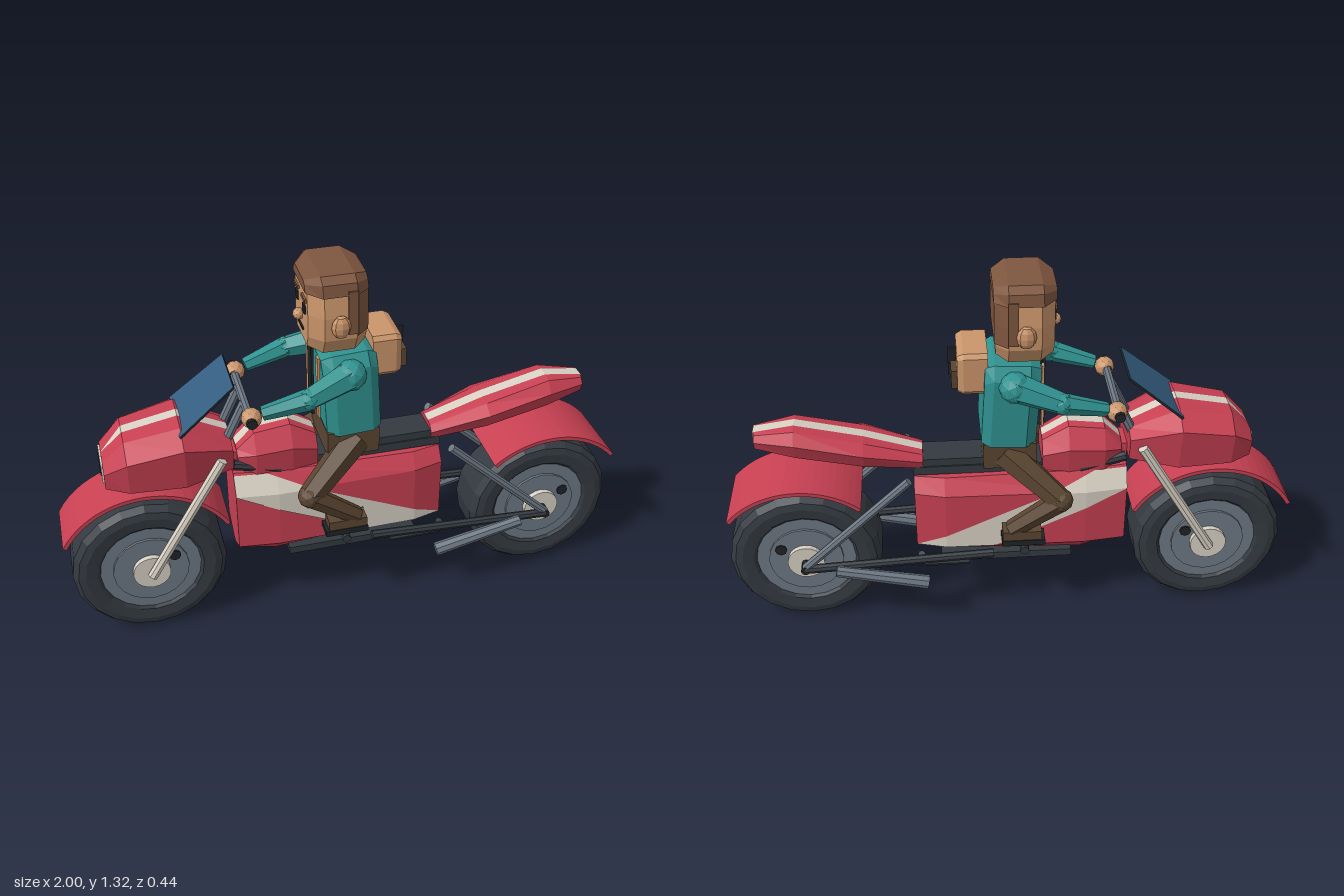
import * as THREE from 'three';

const mat = (name, color) => Object.assign(new THREE.MeshStandardMaterial({ color, flatShading: true }), { name });
const red = mat('red paint', 0xc74052), rubber = mat('dark rubber', 0x343a41), metal = mat('grey metal', 0x6d7884);
const cream = mat('cream paint', 0xd8d1c4), teal = mat('teal cloth', 0x2f9290), pants = mat('brown cloth', 0x5a4531);
const skin = mat('skin and tan leather', 0xcb966b), hair = mat('brown hair', 0x7e563f);
const glass = mat('blue glass', 0x335d80), black = mat('black', 0x202327);
rubber.side = red.side = glass.side = cream.side = THREE.DoubleSide;

export function createModel() {
  const model = new THREE.Group();
  const add = (name, geo, material, x = 0, y = 0, z = 0, parent = model) => {
    const m = new THREE.Mesh(geo, material);
    m.name = name;
    m.position.set(x, y, z);
    parent.add(m);
    return m;
  };
  const box = (name, material, x0, x1, y0, y1, z0, z1) =>
    add(name, new THREE.BoxGeometry(x1 - x0, y1 - y0, z1 - z0), material, (x0 + x1) / 2, (y0 + y1) / 2, (z0 + z1) / 2);
  // Tapered rod between two points
  const bar = (name, material, a, b, r0, r1 = r0, sides = 8) => {
    const p = new THREE.Vector3(...a), d = new THREE.Vector3(...b).sub(p);
    const m = add(name, new THREE.CylinderGeometry(r1, r0, d.length(), sides), material);
    m.position.copy(p).addScaledVector(d, 0.5);
    m.quaternion.setFromUnitVectors(new THREE.Vector3(0, 1, 0), d.normalize());
    return m;
  };
  // Mirrored shell along x: each section is [x, [y, z] from top to bottom]; group 1 is the top strip
  const quad = (out, a, b, c, d) => out.push(...a, ...b, ...c, ...a, ...c, ...d);
  const loft = sections => {
    const rings = sections.map(([x, ...h]) => [
      ...h.map(([y, z]) => [x, y, z]), ...h.slice().reverse().map(([y, z]) => [x, y, -z])]);
    const n = rings[0].length, pos = [], strip = [];
    for (let i = 0; i < rings.length - 1; i++)
      for (let j = 0; j < n; j++) {
        const k = (j + 1) % n;
        quad(j === n - 1 ? strip : pos, rings[i][j], rings[i][k], rings[i + 1][k], rings[i + 1][j]);
      }
    const first = rings[0], last = rings[rings.length - 1];
    for (let j = 1; j < n - 1; j++) {
      pos.push(...first[0], ...first[j + 1], ...first[j]);
      pos.push(...last[0], ...last[j], ...last[j + 1]);
    }
    const g = new THREE.BufferGeometry();
    g.setAttribute('position', new THREE.Float32BufferAttribute([...pos, ...strip], 3));
    g.addGroup(0, pos.length / 3, 0);
    g.addGroup(pos.length / 3, strip.length / 3, 1);
    g.computeVertexNormals();
    return g;
  };
  const sides = f => [1, -1].forEach(f);

  // Wheels
  for (const [name, x] of [['frontWheel', -0.715], ['rearWheel', 0.73]]) {
    const w = new THREE.Group();
    w.name = name;
    w.position.set(x, 0.276, 0);
    model.add(w);
    const profile = [[0.17, -0.08], [0.185, -0.094], [0.225, -0.099], [0.25, -0.093], [0.268, -0.07]];
    const pts = [...profile, ...profile.slice().reverse().map(([r, y]) => [r, -y])].map(p => new THREE.Vector2(...p));
    add('tyre', new THREE.LatheGeometry(pts, 20).rotateX(Math.PI / 2), rubber, 0, 0, 0, w);
    for (const [part, r, h, m] of [['rim', 0.178, 0.17, metal], ['wheelDisc', 0.132, 0.188, metal], ['hub', 0.065, 0.226, cream]])
      add(part, new THREE.CylinderGeometry(r, r, h, 20).rotateX(Math.PI / 2), m, 0, 0, 0, w);
    add('valve', new THREE.CylinderGeometry(0.021, 0.021, 0.2, 8).rotateX(Math.PI / 2), black, 0.085, 0.05, 0, w);
  }

  // Curved mudguards
  const mudguard = (name, x, a0, a1, half) => {
    const s = new THREE.Shape();
    s.absarc(0, 0, 0.327, a0, a1, false);
    s.absarc(0, 0, 0.313, a1, a0, true);
    add(name, new THREE.ExtrudeGeometry(s, { depth: half * 2, bevelEnabled: false, curveSegments: 10 }), red, x, 0.275, -half);
  };
  mudguard('frontMudguard', -0.715, 0.51, 2.62, 0.105);
  mudguard('rearMudguard', 0.735, 0.72, 2.29, 0.137);

  // Nose fairing, tank and tail with a top stripe
  add('fairing', loft([
    [-0.83, [0.735, 0.001], [0.735, 0.06], [0.71, 0.1], [0.645, 0.085]],
    [-0.755, [0.815, 0.02], [0.81, 0.075], [0.765, 0.145], [0.645, 0.13]],
    [-0.57, [0.85, 0.02], [0.845, 0.09], [0.8, 0.163], [0.645, 0.145]],
    [-0.405, [0.765, 0.02], [0.76, 0.06], [0.74, 0.11], [0.66, 0.1]]]), [red, cream]);
  box('headlight', cream, -0.836, -0.828, 0.655, 0.722, -0.065, 0.065);
  sides(s => box('headlightBar', black, -0.839, -0.835, 0.665, 0.712, s * 0.028 - 0.009, s * 0.028 + 0.009));
  add('tank', loft([
    [-0.385, [0.7, 0.02], [0.695, 0.045], [0.675, 0.065], [0.64, 0.055]],
    [-0.325, [0.76, 0.02], [0.755, 0.05], [0.69, 0.092], [0.6, 0.08]],
    [-0.2, [0.775, 0.02], [0.77, 0.05], [0.7, 0.097], [0.6, 0.085]],
    [-0.11, [0.72, 0.02], [0.715, 0.045], [0.67, 0.078], [0.6, 0.068]]]), [red, cream]);
  add('tail', loft([
    [0.3, [0.68, 0.02], [0.675, 0.045], [0.655, 0.065], [0.625, 0.055]],
    [0.5, [0.745, 0.02], [0.74, 0.06], [0.715, 0.105], [0.66, 0.08]],
    [0.73, [0.8, 0.02], [0.795, 0.055], [0.755, 0.085], [0.695, 0.06]],
    [0.865, [0.78, 0.02], [0.775, 0.035], [0.755, 0.05], [0.725, 0.04]]]), [red, cream]);
  box('tailLight', cream, 0.863, 0.869, 0.728, 0.779, -0.024, 0.024);
  add('tailUnderside', new THREE.BoxGeometry(0.55, 0.008, 0.048), rubber, 0.58, 0.672, 0).rotation.z = 0.173;

  // Engine body, slimmer at both ends: [x, top y, bottom y, half width]
  const stations = [[-0.405, 0.615, 0.275, 0.105], [-0.26, 0.61, 0.215, 0.122], [0.23, 0.595, 0.25, 0.115], [0.335, 0.59, 0.3, 0.088]];
  add('body', loft(stations.map(([x, top, low, w]) =>
    [x, [top, w - 0.038], [0.54, w], [0.32, w], [low, 0.015]])), red);

  // Diagonal stripe that follows the body side and folds over its upper bevel
  const halfWidth = x => {
    const i = x < -0.26 ? 0 : x < 0.23 ? 1 : 2, a = stations[i], b = stations[i + 1];
    return THREE.MathUtils.mapLinear(x, a[0], b[0], a[3], b[3]);
  };
  const columns = [-0.405, -0.29, -0.26, -0.14, 0.06, 0.23, 0.335];
  sides(s => {
    const point = (x, y) => [x, y, s * (halfWidth(x) + 0.004 - Math.max(0, y - 0.54) * 0.53)];
    const low = x => Math.max(0.322, 0.54 - 0.469 * (x + 0.405));
    const high = x => Math.min(0.607, 0.54 - 0.459 * (x + 0.14));
    const v = [];
    for (let i = 0; i < columns.length - 1; i++) {
      const [a, b] = s > 0 ? [columns[i], columns[i + 1]] : [columns[i + 1], columns[i]];
      const fold = x => Math.min(0.54, high(x));
      quad(v, point(a, low(a)), point(b, low(b)), point(b, fold(b)), point(a, fold(a)));
      if (i < 3) quad(v, point(a, fold(a)), point(b, fold(b)), point(b, high(b)), point(a, high(a)));
    }
    const g = new THREE.BufferGeometry();
    g.setAttribute('position', new THREE.Float32BufferAttribute(v, 3));
    g.computeVertexNormals();
    add('bodyStripe', g, cream);
    bar('tankBracket', rubber, [-0.4, 0.645, s * 0.06], [-0.24, 0.61, s * 0.07], 0.018);
  });
  add('neck', new THREE.BoxGeometry(0.06, 0.1, 0.1), red, -0.375, 0.64, 0);
  box('seat', rubber, -0.15, 0.335, 0.6, 0.632, -0.06, 0.06);
  box('seatPad', rubber, 0, 0.32, 0.63, 0.66, -0.055, 0.055);
  box('lowerFrame', rubber, -0.22, 0.25, 0.222, 0.25, -0.075, 0.075);

  // Windscreen, narrower at its upper edge
  const ws = new THREE.BoxGeometry(0.24, 0.008, 0.246);
  const wp = ws.attributes.position;
  for (let i = 0; i < wp.count; i++) if (wp.getX(i) > 0) wp.setZ(i, wp.getZ(i) * 0.86);
  add('windscreen', ws, [black, black, glass, glass, black, black], -0.482, 0.905, 0).rotation.z = 0.685;

  // Fork, struts, swing arms, exhausts
  sides(s => {
    bar('fork', cream, [-0.715, 0.275, s * 0.128], [-0.445, 0.72, s * 0.128], 0.018);
    bar('rearStrut', metal, [0.35, 0.63, s * 0.135], [0.73, 0.28, s * 0.145], 0.016);
    bar('swingArm', rubber, [0.065, 0.31, s * 0.148], [0.73, 0.275, s * 0.148], 0.016);
    bar('lowerStay', rubber, [0.15, 0.235, s * 0.09], [0.335, 0.235, s * 0.09], 0.015);
    bar('stayLink', rubber, [0.32, 0.235, s * 0.09], [0.32, 0.31, s * 0.135], 0.013);
    bar('exhaust', metal, [0.3, 0.212, s * 0.174], [0.62, 0.282, s * 0.174], 0.025, 0.02);
    bar('handlebarRiser', metal, [-0.42, 0.74, s * 0.05], [-0.35, 0.885, s * 0.05], 0.017);
    bar('grip', black, [-0.35, 0.885, s * 0.12], [-0.35, 0.885, s * 0.19], 0.018);
  });
  bar('handlebar', metal, [-0.35, 0.885, -0.13], [-0.35, 0.885, 0.13], 0.015);
  bar('footPegs', rubber, [-0.04, 0.355, -0.2], [-0.04, 0.355, 0.2], 0.016);
  bar('rearAxle', black, [0.73, 0.275, -0.16], [0.73, 0.275, 0.16], 0.016);

  // Rider torso and hips
  add('torso', loft([
    [-0.095, [1.03, 0.085], [0.98, 0.105], [0.75, 0.1]], [-0.06, [1.045, 0.1], [1, 0.128], [0.745, 0.125]],
    [0.06, [1.045, 0.1], [1, 0.128], [0.745, 0.125]], [0.09, [1.03, 0.09], [0.98, 0.11], [0.75, 0.105]]])
    .translate(0, -0.9, 0).rotateZ(0.06).translate(0.003, 0.9, 0), teal);
  box('hips', pants, -0.085, 0.095, 0.655, 0.75, -0.115, 0.115);
  box('jacketFront', black, -0.118, -0.109, 0.78, 1.04, -0.025, 0.025);
  sides(s => {
    box('packStrap', skin, -0.11, -0.101, 0.8, 1.03, s * 0.07 - 0.012, s * 0.07 + 0.012);

    // Arms and hands
    const shoulder = [-0.01, 0.983, s * 0.13], elbow = [-0.16, 0.94, s * 0.172], wrist = [-0.31, 0.9, s * 0.153];
    bar('upperArm', teal, shoulder, elbow, 0.052, 0.037, 6);
    bar('forearm', teal, elbow, wrist, 0.037, 0.024, 6);
    add('shoulder', new THREE.IcosahedronGeometry(0.054, 1), teal, ...shoulder);
    add('elbow', new THREE.IcosahedronGeometry(0.037, 1), teal, ...elbow);
    add('hand', new THREE.IcosahedronGeometry(0.035, 1), skin, -0.345, 0.885, s * 0.148);

    // Legs and shoes
    const hip = [0.02, 0.7, s * 0.08], knee = [-0.165, 0.555, s * 0.18], ankle = [0.005, 0.425, s * 0.162];
    bar('thigh', pants, hip, knee, 0.056, 0.042, 6);
    bar('shin', pants, knee, ankle, 0.04, 0.032, 6);
    add('knee', new THREE.IcosahedronGeometry(0.042, 1), pants, ...knee);
    box('shoe', pants, -0.1, 0.035, 0.39, 0.43, s * 0.16 - 0.03, s * 0.16 + 0.03);
    box('sole', black, -0.112, 0.038, 0.373, 0.395, s * 0.16 - 0.033, s * 0.16 + 0.033);

    // Ears, sideburns and face
    add('ear', new THREE.SphereGeometry(0.04, 8, 6).scale(0.8, 1, 0.5), skin, -0.045, 1.172, s * 0.143);
    box('sideburn', hair, -0.02, 0.012, 1.14, 1.29, s * 0.137 - 0.004, s * 0.137 + 0.004);
    box('eye', black, -0.146, -0.139, 1.19, 1.22, s * 0.05 - 0.014, s * 0.05 + 0.014);
    box('eyebrow', hair, -0.147, -0.139, 1.235, 1.247, s * 0.05 - 0.026, s * 0.05 + 0.026);
  });

  // Head with a hair cap and a hair layer wrapping the back
  bar('neckSkin', skin, [-0.03, 1.02, 0], [-0.035, 1.1, 0], 0.05);
  add('head', loft([
    [-0.14, [1.29, 0.08], [1.2, 0.09], [1.12, 0.088], [1.08, 0.07]],
    [-0.095, [1.31, 0.12], [1.2, 0.135], [1.12, 0.132], [1.062, 0.1]],
    [0.01, [1.31, 0.12], [1.2, 0.135], [1.12, 0.132], [1.062, 0.1]],
    [0.05, [1.29, 0.085], [1.2, 0.1], [1.12, 0.097], [1.08, 0.075]]]), skin);
  add('hairCap', loft([
    [-0.146, [1.31, 0.06], [1.3, 0.075], [1.275, 0.085]], [-0.1, [1.333, 0.1], [1.315, 0.13], [1.275, 0.138]],
    [0.01, [1.333, 0.1], [1.315, 0.13], [1.275, 0.138]], [0.056, [1.315, 0.065], [1.3, 0.085], [1.275, 0.098]]]), hair);
  add('backHair', loft([
    [0.012, [1.28, 0.13], [1.2, 0.138], [1.13, 0.136]], [0.055, [1.28, 0.095], [1.2, 0.1], [1.13, 0.098]]]), hair);
  add('nose', new THREE.IcosahedronGeometry(0.02, 1), skin, -0.15, 1.16, 0);
  box('mouth', black, -0.145, -0.139, 1.115, 1.123, -0.03, 0.03);

  // Backpack
  add('backpack', loft([
    [0.075, [1.085, 0.08], [1.07, 0.092], [0.95, 0.092], [0.935, 0.08]],
    [0.155, [1.085, 0.08], [1.07, 0.092], [0.95, 0.092], [0.935, 0.08]],
    [0.175, [1.075, 0.075], [1.062, 0.083], [0.955, 0.083], [0.943, 0.075]]]), skin);
  box('packPocket', pants, 0.17, 0.195, 0.955, 1.02, -0.075, 0.075);
  box('packBuckle', black, 0.17, 0.203, 0.97, 1.068, -0.006, 0.006);

  return model;
}
